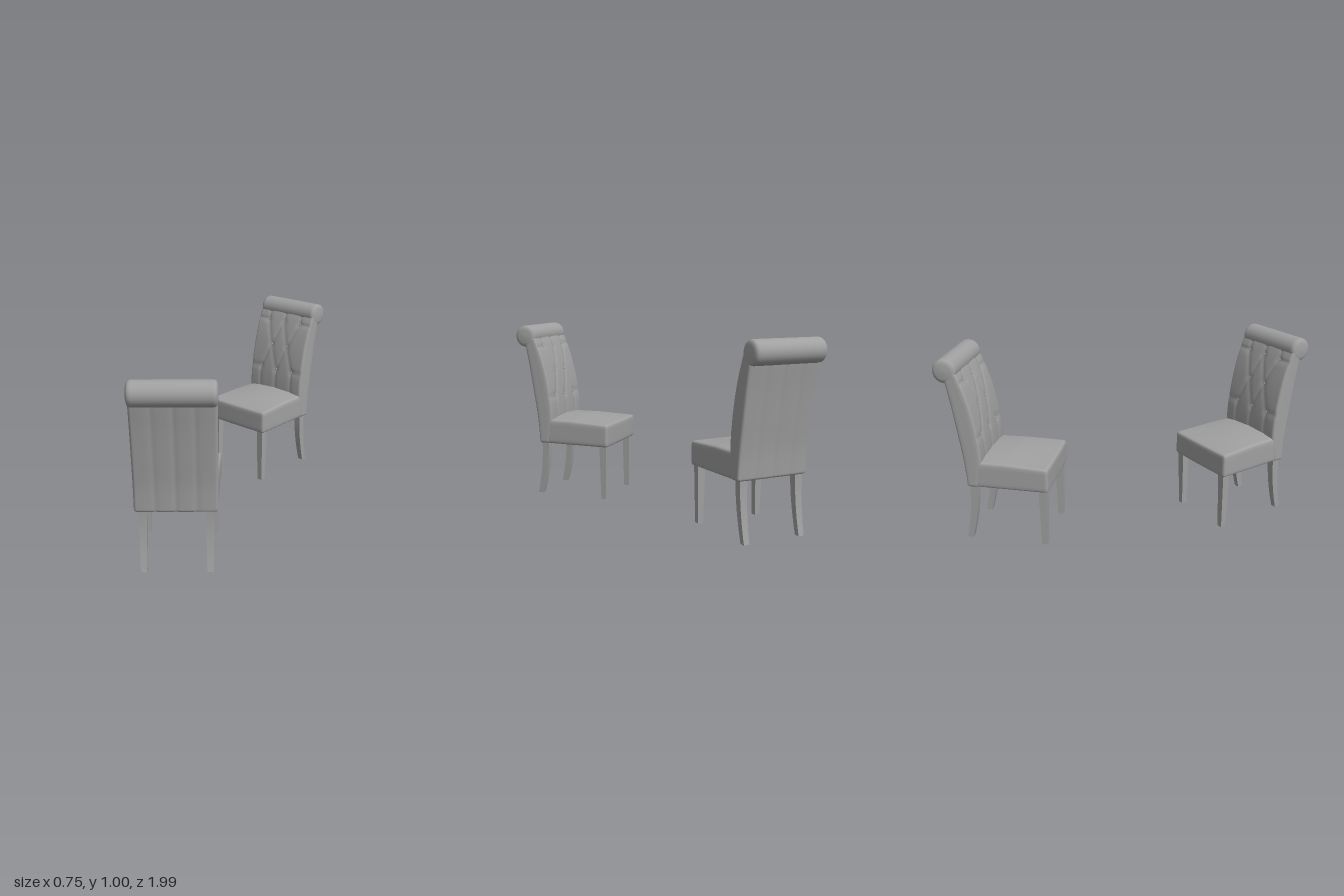
import * as THREE from 'three';
import { mergeVertices } from 'three/addons/utils/BufferGeometryUtils.js';

const grey = new THREE.MeshStandardMaterial({ color: 0xa0a0a0 });
grey.name = 'grey upholstery';

// Moves every vertex of a geometry by a rule
function reshape(geo, rule) {
  const pos = geo.attributes.position;
  const v = new THREE.Vector3();
  for (let i = 0; i < pos.count; i++) {
    v.fromBufferAttribute(pos, i);
    rule(v);
    pos.setXYZ(i, v.x, v.y, v.z);
  }
  geo.computeVertexNormals();
  return geo;
}

// Smooth cushion block with rounded edges, finer towards its edges, then shaped by a rule
function cushion(size, r, segs, rule) {
  let geo = new THREE.BoxGeometry(2, 2, 2, ...segs);
  geo.deleteAttribute('uv');
  geo.deleteAttribute('normal');
  geo = mergeVertices(geo);
  const half = size.clone().multiplyScalar(0.5);
  const inner = half.clone().subScalar(r);
  const q = new THREE.Vector3();
  return reshape(geo, (v) => {
    for (const k of ['x', 'y', 'z']) v[k] = Math.sin(v[k] * Math.PI / 2) * half[k];
    q.copy(v).clamp(inner.clone().negate(), inner);
    v.sub(q).setLength(r).add(q);
    rule(v);
  });
}

// Smooth curve z(y) through a few points
function sideCurve(points) {
  const c = new THREE.SplineCurve(points.map(([y, z]) => new THREE.Vector2(y, z)));
  const table = c.getPoints(200);
  return (y) => {
    let i = 1;
    while (i < table.length - 1 && table[i].x < y) i++;
    const a = table[i - 1], b = table[i];
    const t = THREE.MathUtils.clamp((y - a.x) / (b.x - a.x), 0, 1);
    return a.y + (b.y - a.y) * t;
  };
}

const frontZ = sideCurve([[0.31, -0.09], [0.38, -0.076], [0.47, -0.069], [0.6, -0.08], [0.75, -0.11], [0.88, -0.152], [0.95, -0.185]]);
const rearZ = sideCurve([[0.31, -0.148], [0.45, -0.16], [0.6, -0.182], [0.75, -0.206], [0.88, -0.23], [0.95, -0.24]]);

// Tufting: three, two and three buttons joined by diagonal seams
const TOP = 0.875, MID = 0.73, LOW = 0.585, STEP = 0.12;
const buttons = [];
const seams = [];
for (const x of [-STEP, 0, STEP]) {
  buttons.push([x, TOP], [x, LOW]);
  seams.push([x, TOP, x, 0.96], [x, LOW, x, 0.45]);
}
for (const x of [-STEP / 2, STEP / 2]) {
  buttons.push([x, MID]);
  for (const s of [-1, 1]) {
    seams.push([x, MID, x + s * STEP / 2, TOP], [x, MID, x + s * STEP / 2, LOW]);
  }
}
for (const s of [-1, 1]) for (const y of [TOP, LOW]) seams.push([s * STEP, y, s * 0.19, y]);

function seamDistance(x, y) {
  let best = 1;
  for (const [ax, ay, bx, by] of seams) {
    const dx = bx - ax, dy = by - ay;
    const t = THREE.MathUtils.clamp(((x - ax) * dx + (y - ay) * dy) / (dx * dx + dy * dy), 0, 1);
    best = Math.min(best, Math.hypot(x - ax - t * dx, y - ay - t * dy));
  }
  return best;
}

function tuftDepth(x, y) {
  let d = 0.006 * Math.exp(-seamDistance(x, y) / 0.009);
  for (const [bx, by] of buttons) d += 0.005 * Math.exp(-(((x - bx) ** 2 + (y - by) ** 2) / 0.0004));
  return d;
}

// Backrest: curved slab, tufted in front, upright channels behind
const BACK_H = 0.635, BACK_D = 0.08;
const backGeo = cushion(new THREE.Vector3(0.405, BACK_H, BACK_D), 0.014, [64, 80, 8], (v) => {
  const t = v.z / BACK_D + 0.5;
  const y = v.y + 0.31 + BACK_H / 2;
  v.y = y;
  v.z = THREE.MathUtils.lerp(rearZ(y), frontZ(y), t);
  const edge = 1 - (v.x / 0.2025) ** 4;
  if (t > 0.5) v.z += (t - 0.5) * 2 * (0.004 * edge - tuftDepth(v.x, y));
  else {
    let channel = 0;
    for (const x of [-0.1, 0, 0.1]) channel += Math.exp(-Math.abs(v.x - x) / 0.012);
    v.z += (0.5 - t) * 2 * (0.005 * channel - 0.004 * edge);
  }
});

// Seat: wider at the front, crowned on top
const seatGeo = cushion(new THREE.Vector3(0.43, 0.13, 0.39), 0.016, [36, 10, 36], (v) => {
  const side = 1 - (v.x / 0.215) ** 2;
  const depth = v.z / 0.39 + 0.5;
  const up = Math.max(0, v.y / 0.065);
  v.x *= 0.93 + 0.07 * depth;
  v.y += 0.375 + up * 0.027 * (0.35 + 0.65 * side) * Math.min(1, 1.7 * (1 - depth));
  v.z += 0.095 + 0.004 * side * depth;
});

// Rolled top: a padded cylinder lying across the chair
const R = 0.0625, L = 0.2;
const rollProfile = [[0, -L - 0.007], [R * 0.6, -L - 0.005], [R * 0.86, -L], [R * 0.97, -L + 0.008], [R, -L + 0.02]];
const mirrored = rollProfile.map(([r, y]) => [r, -y]).reverse();
const rollGeo = new THREE.LatheGeometry([...rollProfile, ...mirrored].map(([r, y]) => new THREE.Vector2(r, y)), 40);
rollGeo.rotateZ(Math.PI / 2);

// Square tapered leg, with an optional backward sweep at the foot
function legGeometry(sweep) {
  return reshape(new THREE.BoxGeometry(1, 1, 1, 1, 10, 1), (v) => {
    const t = v.y + 0.5;
    const w = 0.031 + 0.012 * t;
    v.set(v.x * w, t * 0.32, v.z * w - sweep * (1 - t) ** 2);
  });
}
const frontLegGeo = legGeometry(0);
const rearLegGeo = legGeometry(0.042);
const buttonGeo = new THREE.SphereGeometry(0.006, 12, 8);

function createChair(name) {
  const chair = new THREE.Group();
  chair.name = name;
  const add = (part, geo, x = 0, y = 0, z = 0) => {
    const mesh = new THREE.Mesh(geo, grey);
    mesh.name = part;
    mesh.position.set(x, y, z);
    chair.add(mesh);
  };
  add('seat', seatGeo);
  add('backrest', backGeo);
  add('rolledTop', rollGeo, 0, 1 - R, -0.231);
  for (const [x, y] of buttons) add('button', buttonGeo, x, y, frontZ(y) - 0.006);
  for (const [s, label] of [[1, 'left'], [-1, 'right']]) {
    add(label + 'FrontLeg', frontLegGeo, s * 0.178, 0, 0.257);
    add(label + 'RearLeg', rearLegGeo, s * 0.162, 0, -0.119);
  }
  return chair;
}

export function createModel() {
  const model = new THREE.Group();
  model.name = 'pairOfDiningChairs';
  // Two chairs turned towards each other
  const rear = createChair('rearChair');
  rear.position.set(-0.099, 0, -0.67);
  rear.rotation.y = THREE.MathUtils.degToRad(-14.2);
  const front = createChair('frontChair');
  front.position.set(0.06, 0, 0.645);
  front.rotation.y = THREE.MathUtils.degToRad(209);
  model.add(rear, front);
  return model;
}
